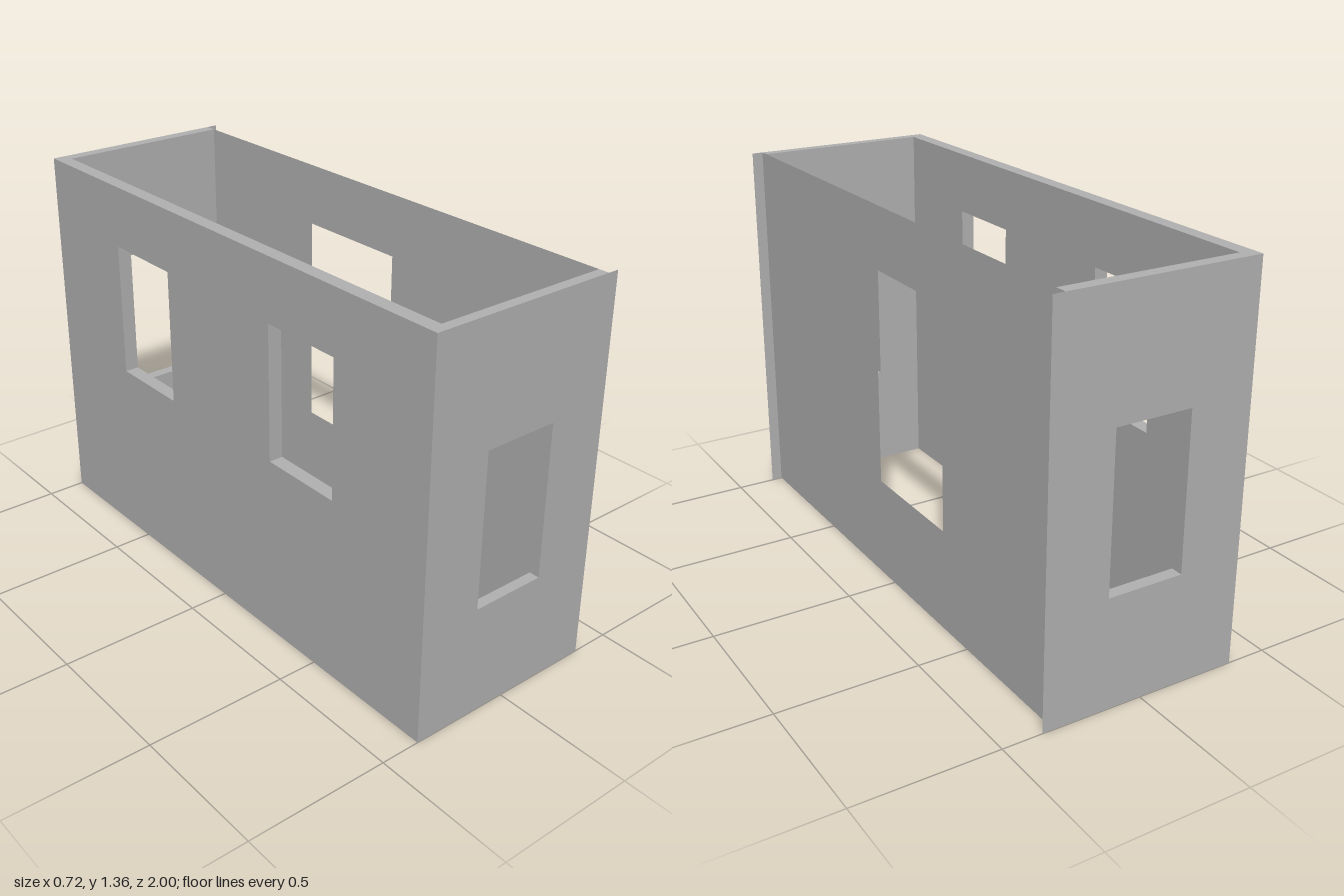
import * as THREE from 'three';

const HEIGHT = 1.36;

// Rectangular panel from u0 to u1 with [u0, u1, v0, v1] openings
function panelShape(u0, u1, openings = []) {
  const rect = (target, a, b, c, d) =>
    target.moveTo(a, c).lineTo(b, c).lineTo(b, d).lineTo(a, d).closePath();
  const shape = rect(new THREE.Shape(), u0, u1, 0, HEIGHT);
  for (const [a, b, c, d] of openings) shape.holes.push(rect(new THREE.Path(), a, b, c, d));
  return shape;
}

export function createModel() {
  const model = new THREE.Group();
  model.name = 'roomWalls';
  const grey = new THREE.MeshStandardMaterial({ color: 0xb2b2b2, side: THREE.DoubleSide });
  grey.name = 'wallGrey';

  function add(name, geometry) {
    const mesh = new THREE.Mesh(geometry, grey);
    mesh.name = name;
    model.add(mesh);
    return mesh;
  }
  const solid = (shape, depth) =>
    new THREE.ExtrudeGeometry(shape, { depth, bevelEnabled: false });

  // End walls with one window each, plus the thin lip that runs past the side sheet
  const endWindow = [-0.135, 0.135, 0.39, 0.935];
  for (const [name, start, depth, lipZ] of [
    ['front', 0.963, 0.037, 1],
    ['back', -1, 0.043, -1],
  ]) {
    add(name + 'Wall', solid(panelShape(-0.31, 0.32, [endWindow]), depth)).position.z = start;
    add(name + 'Lip', new THREE.ShapeGeometry(panelShape(0.32, 0.36))).position.z = lipZ;
  }

  // Thick long wall with two windows
  const longWall = add('windowWall', solid(panelShape(-1, 1, [
    [-0.585, -0.275, 0.66, 1.14],
    [0.275, 0.585, 0.66, 1.14],
  ]), 0.05));
  longWall.rotation.y = -Math.PI / 2;
  longWall.position.x = -0.31;

  // Thin long wall with one tall opening
  const sheet = add('thinWall', new THREE.ShapeGeometry(panelShape(-1, 1, [[-0.35, 0.085, 0.365, 1.14]])));
  sheet.rotation.y = -Math.PI / 2;
  sheet.position.x = 0.32;

  return model;
}
